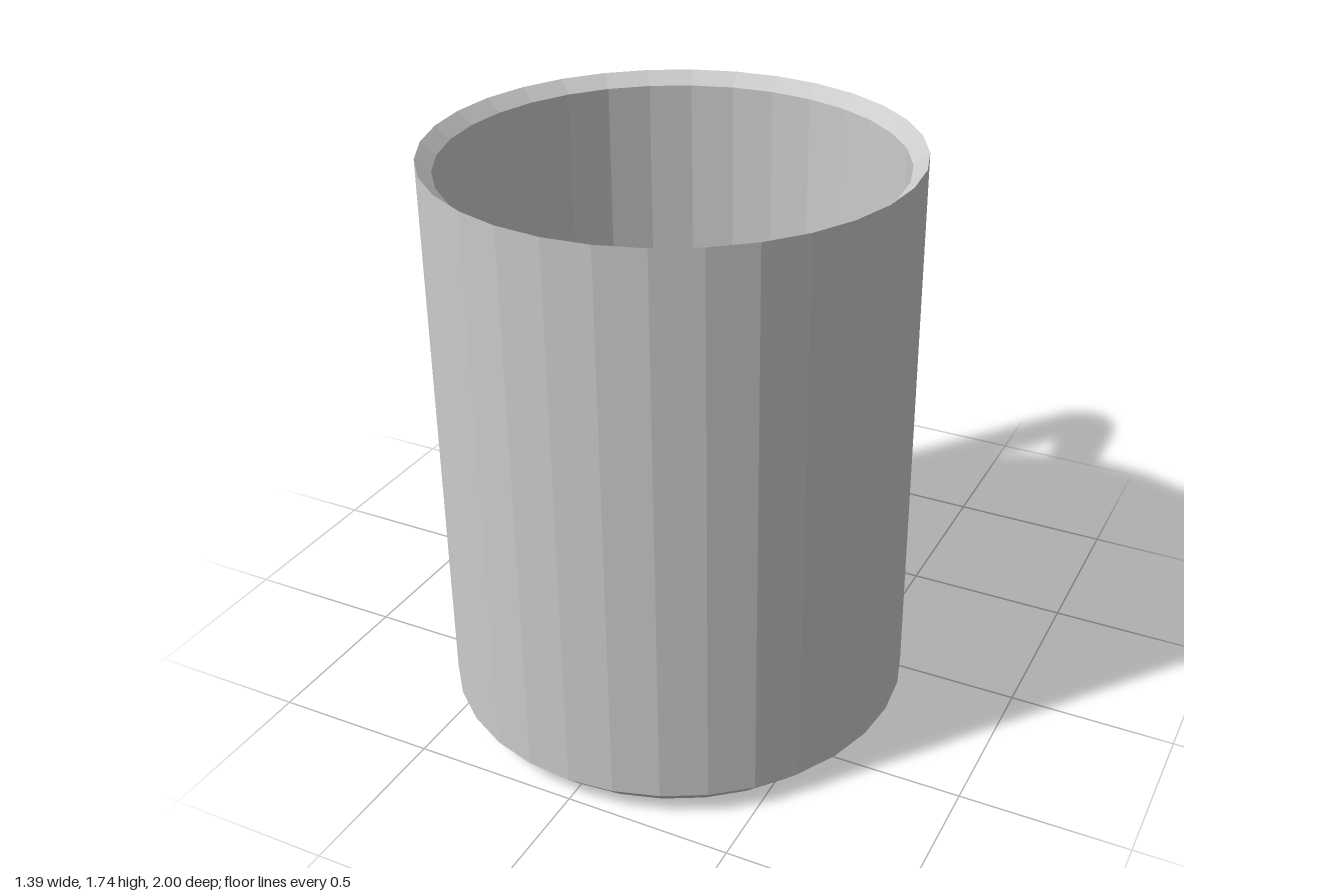
import * as THREE from 'three';

const CUP_Z = 0.305;     // cup axis, offset forward of the handle
const TUBE = 0.084;      // handle thickness radius
const SIDES = 12;

// Handle stations: y, z, tangent angle (0 = backwards, 90 deg = down), sideways flare
function handleStations() {
  const top = 1.481, bottom = 0.265, bendZ = -0.745, bend = 0.17, steps = 4;
  const half = [[-0.36, 2.3], [-0.382, 1.75], [-0.405, 1.35], [-0.45, 1]]
    .map(([z, flare]) => ({ y: top, z, angle: 0, flare }));
  for (let i = 0; i <= steps; i++) {
    const angle = (i / steps) * Math.PI / 2;
    half.push({
      y: top - bend + bend * Math.cos(angle),
      z: bendZ - bend * Math.sin(angle),
      angle, flare: 1,
    });
  }
  // the lower half mirrors the upper half
  const mirrored = half.map((s) => ({ ...s, y: top + bottom - s.y, angle: Math.PI - s.angle })).reverse();
  return [...half, ...mirrored];
}

// Sweep a rounded section through the stations
function handleGeometry() {
  const positions = [], indices = [];
  const stations = handleStations();
  stations.forEach(({ y, z, angle, flare }, i) => {
    const ty = -Math.sin(angle), tz = -Math.cos(angle);
    for (let j = 0; j < SIDES; j++) {
      const a = ((j + 0.5) / SIDES) * Math.PI * 2;
      const u = TUBE * Math.cos(a) * flare, v = TUBE * Math.sin(a) * 1.03;
      positions.push(u, y + v * tz, z - v * ty);
      if (i < stations.length - 1) {
        const p = i * SIDES + j, q = i * SIDES + (j + 1) % SIDES;
        indices.push(p, q, q + SIDES, p, q + SIDES, p + SIDES);
      }
    }
  });
  const geometry = new THREE.BufferGeometry();
  geometry.setAttribute('position', new THREE.Float32BufferAttribute(positions, 3));
  geometry.setIndex(indices);
  geometry.computeVertexNormals();
  return geometry;
}

export function createModel() {
  const model = new THREE.Group();
  model.name = 'mug';
  const material = new THREE.MeshStandardMaterial({ color: 0xcccccc, flatShading: true });

  // Cup: chamfered foot, straight wall, bevelled rim, hollow inside
  const profile = [
    [0, 0], [0.625, 0], [0.695, 0.07], [0.695, 1.74],
    [0.652, 1.703], [0.652, 0.07], [0, 0.07],
  ].map(([r, y]) => new THREE.Vector2(r, y));
  const cup = new THREE.Mesh(new THREE.LatheGeometry(profile, 32), material);
  cup.name = 'cup';
  cup.position.z = CUP_Z;

  // Handle: rounded bracket flaring where it meets the wall
  const handle = new THREE.Mesh(handleGeometry(), material);
  handle.name = 'handle';

  model.add(cup, handle);
  return model;
}
